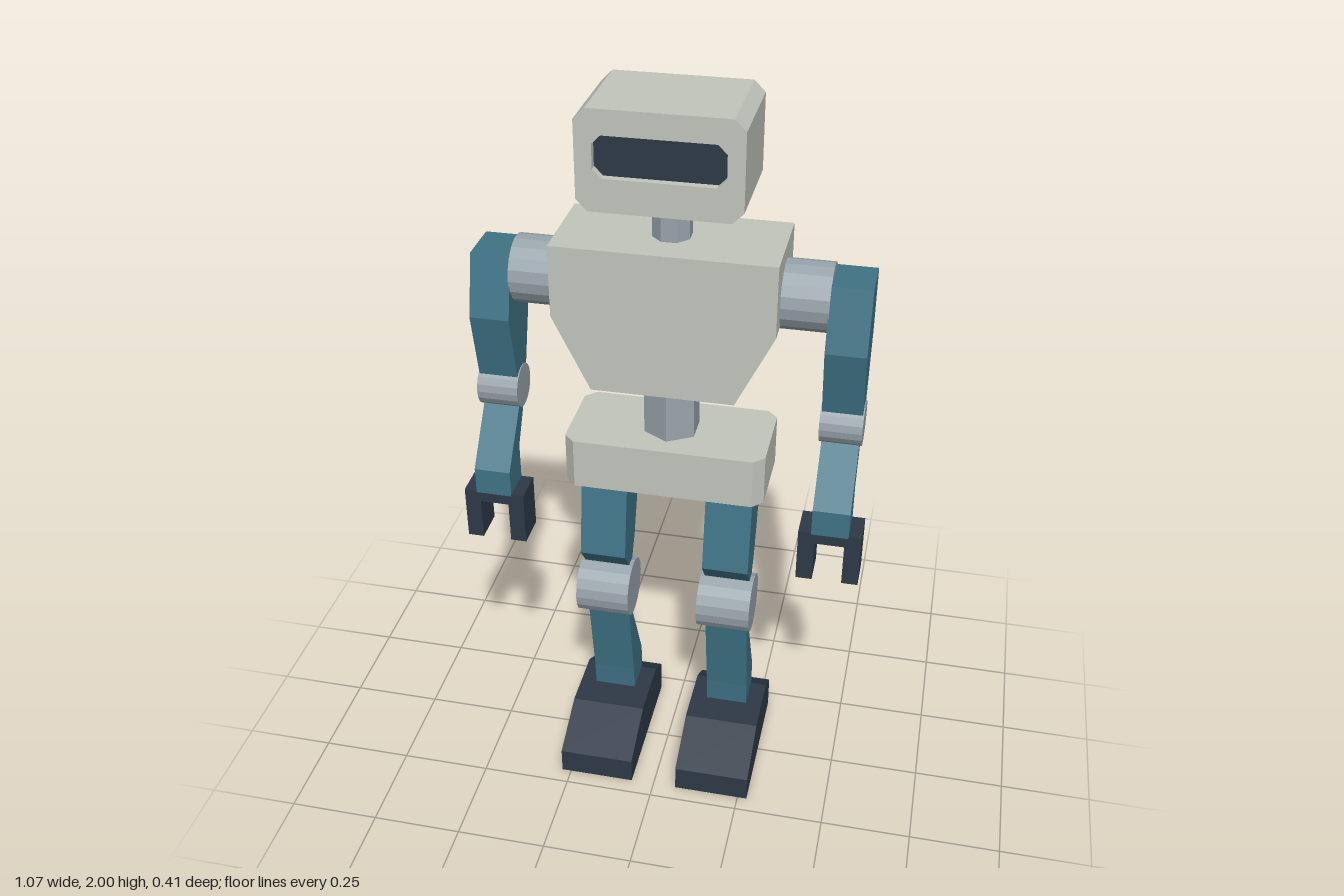
import * as THREE from 'three';

const shell = new THREE.MeshStandardMaterial({ color: 0xc1c5bc });
shell.name = 'shell grey';
const limb = new THREE.MeshStandardMaterial({ color: 0x3f7385 });
limb.name = 'limb teal';
const metal = new THREE.MeshStandardMaterial({ color: 0x98a4ab });
metal.name = 'joint metal';
const dark = new THREE.MeshStandardMaterial({ color: 0x2d3946 });
dark.name = 'dark slate';

const shapeOf = (pts) => new THREE.Shape(pts.map(([x, y]) => new THREE.Vector2(x, y)));

// Rectangle with cut corners, centred on (0, cy)
const chamfered = (hw, hh, c, cy = 0) => [
  [-hw + c, cy - hh], [hw - c, cy - hh], [hw, cy - hh + c], [hw, cy + hh - c],
  [hw - c, cy + hh], [-hw + c, cy + hh], [-hw, cy + hh - c], [-hw, cy - hh + c],
];

function extrude(shape, depth) {
  return new THREE.ExtrudeGeometry(shape, { depth, bevelEnabled: false });
}

// Front outline (x, y) extruded between two z values
function frontSlab(shape, z0, z1) {
  return extrude(shape, z1 - z0).translate(0, 0, z0);
}

// Side outline (z, y) extruded along x, centred on x = 0
function sideSlab(pts, width) {
  return extrude(shapeOf(pts.map(([z, y]) => [-z, y])), width)
    .translate(0, 0, -width / 2)
    .rotateY(Math.PI / 2);
}

// Faceted upright cylinder
function facetedCylinder(r, h, sides, turn = 0) {
  const g = new THREE.CylinderGeometry(r, r, h, sides).rotateY(turn).toNonIndexed();
  g.computeVertexNormals();
  return g;
}

// Faceted cylinder lying along x
function hinge(r, width, y, z) {
  return facetedCylinder(r, width, 18).rotateZ(Math.PI / 2).translate(0, y, z);
}

function add(parent, name, geometry, material) {
  const mesh = new THREE.Mesh(geometry, material);
  mesh.name = name;
  parent.add(mesh);
  return mesh;
}

function buildHead() {
  const head = new THREE.Group();
  head.name = 'head';
  const outline = chamfered(0.2, 0.125, 0.028, 1.875);
  const opening = chamfered(0.158, 0.052, 0.022, 1.886);
  add(head, 'skull', frontSlab(shapeOf(outline), -0.168, 0.075), shell);
  // Front frame with the visor opening
  const frame = shapeOf(outline);
  frame.holes.push(new THREE.Path(opening.map(([x, y]) => new THREE.Vector2(x, y))));
  add(head, 'faceFrame', frontSlab(frame, 0.075, 0.1), shell);
  add(head, 'visor', frontSlab(shapeOf(opening), 0.075, 0.08), dark);
  add(head, 'neck', facetedCylinder(0.051, 0.13, 8, Math.PI / 8).translate(0, 1.695, -0.051), metal);
  return head;
}

function buildBody() {
  const body = new THREE.Group();
  body.name = 'body';
  const chest = shapeOf([
    [-0.185, 1.25], [0.185, 1.25], [0.283, 1.45], [0.283, 1.64], [-0.283, 1.64], [-0.283, 1.45],
  ]);
  add(body, 'chest', frontSlab(chest, -0.181, 0.077), shell);
  add(body, 'waist', facetedCylinder(0.077, 0.19, 6).translate(0, 1.167, -0.05), metal);
  // Pelvis: plan outline with cut corners, extruded upwards
  const pelvis = extrude(shapeOf(chamfered(0.267, 0.129, 0.028)), 0.14)
    .rotateX(-Math.PI / 2)
    .translate(0, 0.945, -0.052);
  add(body, 'pelvis', pelvis, shell);
  return body;
}

function buildArm(side) {
  const arm = new THREE.Group();
  arm.name = side > 0 ? 'leftArm' : 'rightArm';
  arm.position.x = side * 0.452;
  add(arm, 'shoulder', hinge(0.088, 0.125, 1.51, -0.054).translate(-side * 0.112, 0, 0), metal);
  add(arm, 'upperArm', sideSlab([
    [0.01, 1.57], [0.055, 1.41], [0.015, 1.22], [-0.06, 1.22], [-0.117, 1.4], [-0.117, 1.57],
  ], 0.104), limb);
  add(arm, 'elbow', hinge(0.059, 0.11, 1.18, -0.022), metal);
  add(arm, 'forearm', sideSlab([
    [0.0, 1.14], [0.122, 0.99], [0.122, 0.915], [0.028, 0.915], [0.028, 1.02], [-0.042, 1.14],
  ], 0.097), limb);
  // Two-fingered gripper
  const gripper = shapeOf([
    [-0.082, 0.77], [-0.039, 0.77], [-0.039, 0.887], [0.039, 0.887],
    [0.039, 0.77], [0.082, 0.77], [0.082, 0.92], [-0.082, 0.92],
  ]);
  add(arm, 'hand', frontSlab(gripper, 0.028, 0.122), dark);
  return arm;
}

function buildLeg(side) {
  const leg = new THREE.Group();
  leg.name = side > 0 ? 'leftLeg' : 'rightLeg';
  leg.position.x = side * 0.171;
  add(leg, 'thigh', sideSlab([
    [0.02, 0.95], [0.063, 0.71], [0.005, 0.635], [-0.012, 0.635], [-0.053, 0.71], [-0.135, 0.95],
  ], 0.126), limb);
  add(leg, 'knee', hinge(0.083, 0.148, 0.57, 0.007), metal);
  add(leg, 'shin', sideSlab([
    [0.018, 0.51], [-0.03, 0.22], [-0.037, 0.14], [-0.132, 0.14], [-0.135, 0.22], [0.002, 0.51],
  ], 0.119), limb);
  add(leg, 'foot', sideSlab([
    [0.205, 0], [0.205, 0.075], [0.053, 0.145], [-0.127, 0.145], [-0.205, 0.097], [-0.205, 0],
  ], 0.211), dark);
  return leg;
}

export function createModel() {
  const robot = new THREE.Group();
  robot.name = 'robot';
  robot.add(buildHead(), buildBody());
  for (const side of [1, -1]) robot.add(buildArm(side), buildLeg(side));
  return robot;
}
